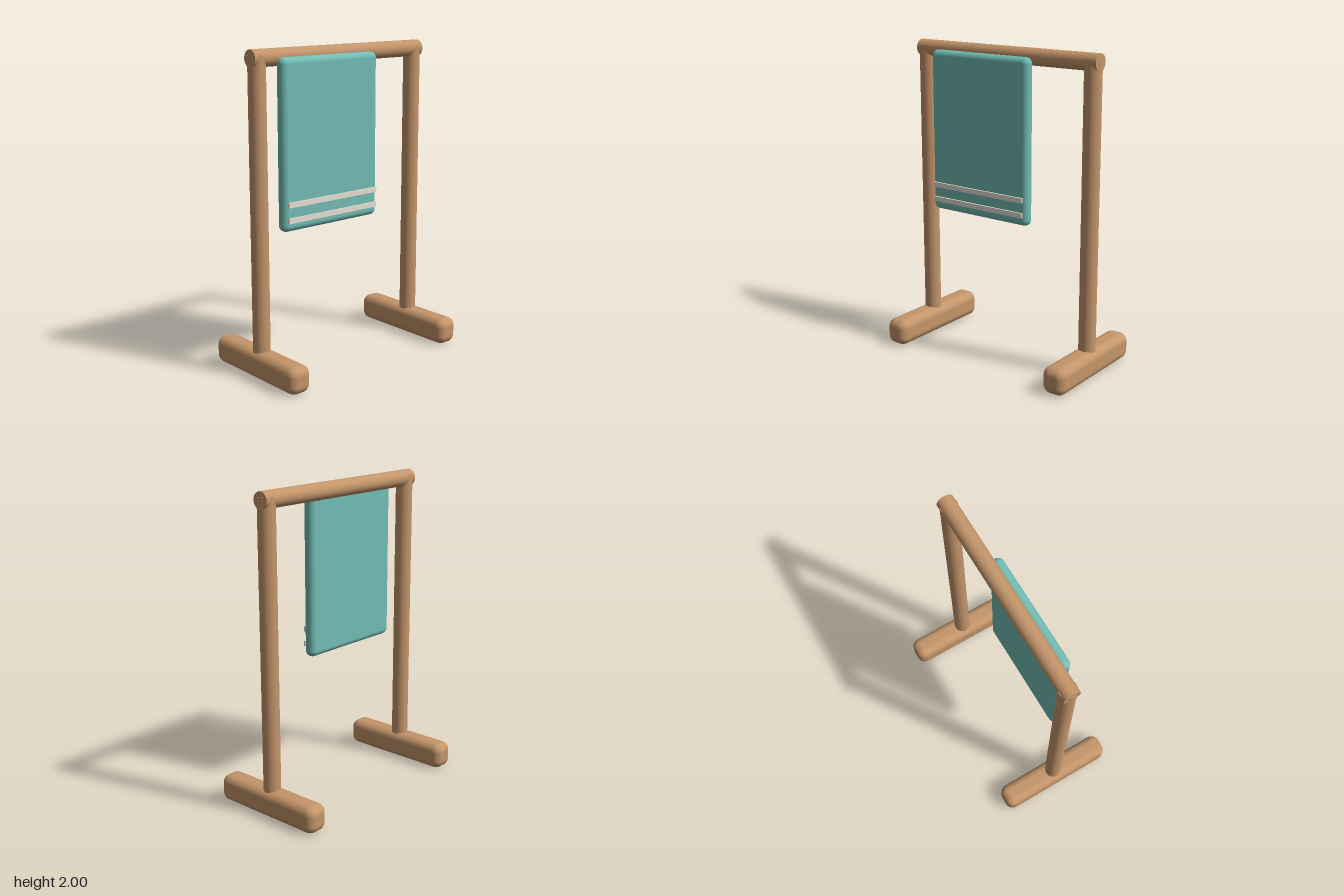
import * as THREE from 'three';
import { RoundedBoxGeometry } from 'three/addons/geometries/RoundedBoxGeometry.js';

const wood = new THREE.MeshStandardMaterial({ color: 0xc4956a });
const cloth = new THREE.MeshStandardMaterial({ color: 0x72bdb5 });
const trim = new THREE.MeshStandardMaterial({ color: 0xe8e0d5 });

export function createModel() {
  const model = new THREE.Group();
  model.name = 'towelRack';

  const add = (name, geometry, material, x, y, z) => {
    const mesh = new THREE.Mesh(geometry, material);
    mesh.name = name;
    mesh.position.set(x, y, z);
    model.add(mesh);
    return mesh;
  };

  // Rounded feet and round posts, mirrored left and right
  for (const [side, s] of [['left', 1], ['right', -1]]) {
    add(side + 'Foot', new RoundedBoxGeometry(0.156, 0.172, 0.785, 5, 0.055), wood, s * 0.632, 0.086, 0);
    add(side + 'Post', new THREE.CylinderGeometry(0.054, 0.054, 1.865, 32), wood, s * 0.632, 1.033, 0);
  }

  // Top rail lying across the posts
  const rail = add('rail', new THREE.CylinderGeometry(0.053, 0.053, 1.36, 32), wood, 0, 1.947, 0);
  rail.rotation.z = Math.PI / 2;

  // Towel hanging on the front of the rail
  const towelX = -0.144;
  add('towel', new RoundedBoxGeometry(0.757, 1.042, 0.08, 5, 0.038), cloth, towelX, 1.428, 0.063);

  // Two pale stripes just in front of the towel
  for (const y of [0.981, 1.077]) {
    add('stripe', new THREE.BoxGeometry(0.71, 0.032, 0.012), trim, towelX, y, 0.113);
  }

  return model;
}
